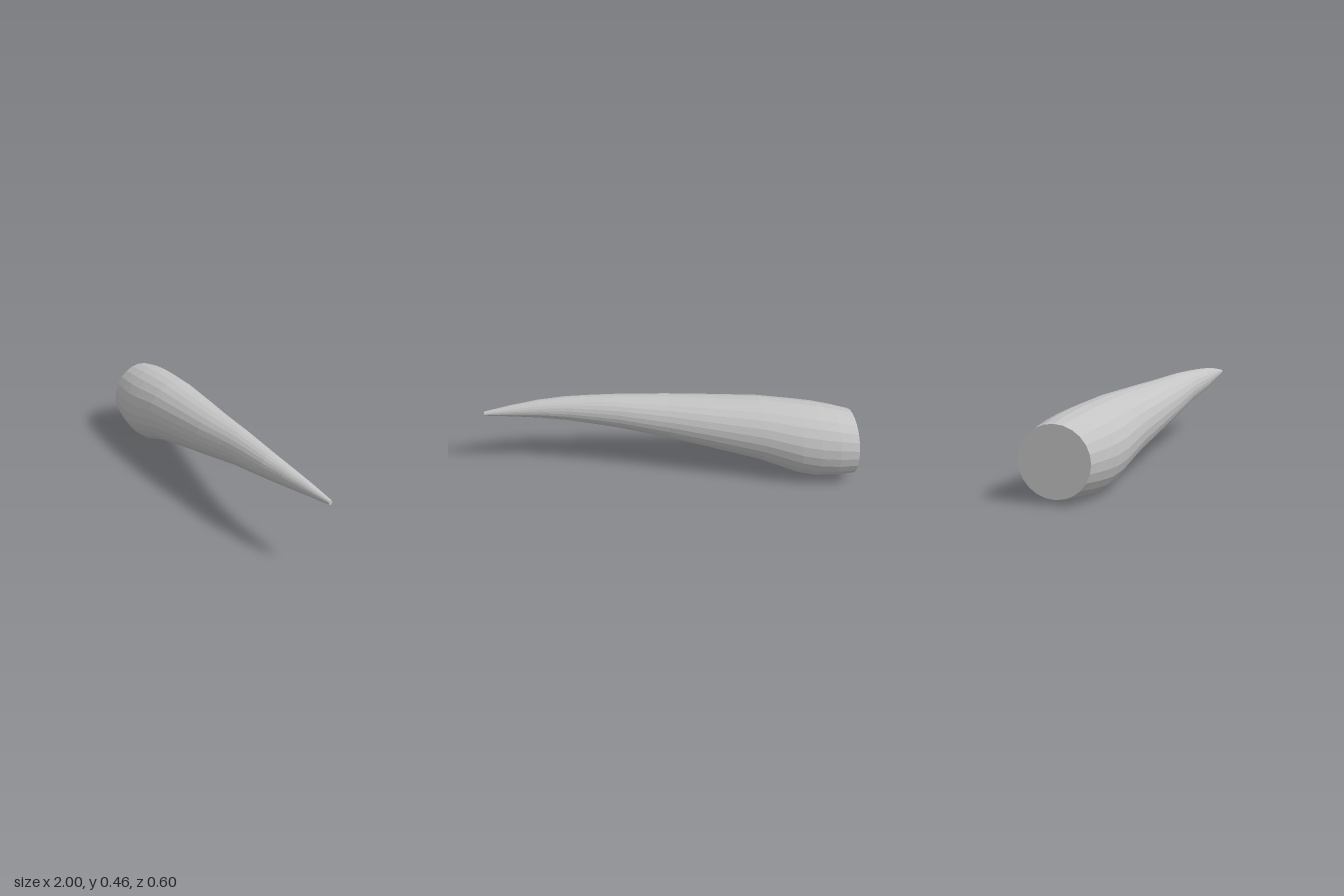
import * as THREE from 'three';

const SIDES = 24;

// Stations along the horn: x, bottom y, top y, back z, front z
const STATIONS = [
  [-1.0, 0.030, 0.395, -0.300, 0.065],
  [-0.9, 0.012, 0.417, -0.290, 0.105],
  [-0.8, 0.004, 0.433, -0.270, 0.138],
  [-0.7, 0.020, 0.443, -0.243, 0.160],
  [-0.5, 0.095, 0.458, -0.173, 0.190],
  [-0.2, 0.167, 0.460, -0.070, 0.226],
  [0.0, 0.212, 0.460, 0.000, 0.249],
  [0.27, 0.268, 0.460, 0.086, 0.268],
  [0.4, 0.288, 0.455, 0.125, 0.280],
  [0.55, 0.311, 0.446, 0.166, 0.294],
  [0.7, 0.329, 0.431, 0.200, 0.296],
  [0.85, 0.344, 0.408, 0.228, 0.290],
  [1.0, 0.355, 0.379, 0.256, 0.280],
];

function ringPoint([x, y0, y1, z0, z1], i) {
  const a = (i / SIDES) * Math.PI * 2;
  return [
    x,
    (y0 + y1) / 2 + (Math.sin(a) * (y1 - y0)) / 2,
    (z0 + z1) / 2 + (Math.cos(a) * (z1 - z0)) / 2,
  ];
}

function fromPoints(points) {
  const geometry = new THREE.BufferGeometry();
  geometry.setAttribute('position', new THREE.Float32BufferAttribute(points.flat(), 3));
  geometry.computeVertexNormals();
  return geometry;
}

// Faceted skin between neighbouring rings
function skinGeometry() {
  const points = [];
  for (let s = 0; s < STATIONS.length - 1; s++) {
    for (let i = 0; i < SIDES; i++) {
      const a = ringPoint(STATIONS[s], i);
      const b = ringPoint(STATIONS[s], i + 1);
      const c = ringPoint(STATIONS[s + 1], i + 1);
      const d = ringPoint(STATIONS[s + 1], i);
      points.push(a, c, b, a, d, c);
    }
  }
  return fromPoints(points);
}

// Flat disc closing one end; direction is +1 for the tip, -1 for the base
function capGeometry(station, direction) {
  const [x, y0, y1, z0, z1] = station;
  const centre = [x, (y0 + y1) / 2, (z0 + z1) / 2];
  const points = [];
  for (let i = 0; i < SIDES; i++) {
    const a = ringPoint(station, i);
    const b = ringPoint(station, i + 1);
    points.push(centre, ...(direction > 0 ? [b, a] : [a, b]));
  }
  return fromPoints(points);
}

export function createModel() {
  const group = new THREE.Group();
  group.name = 'horn';
  const grey = new THREE.MeshStandardMaterial({ color: 0xc4c4c4, flatShading: true });
  grey.name = 'horn grey';

  const add = (name, geometry) => {
    const mesh = new THREE.Mesh(geometry, grey);
    mesh.name = name;
    group.add(mesh);
  };

  add('hornBody', skinGeometry());
  add('baseCap', capGeometry(STATIONS[0], -1));
  add('tipCap', capGeometry(STATIONS[STATIONS.length - 1], 1));
  return group;
}
